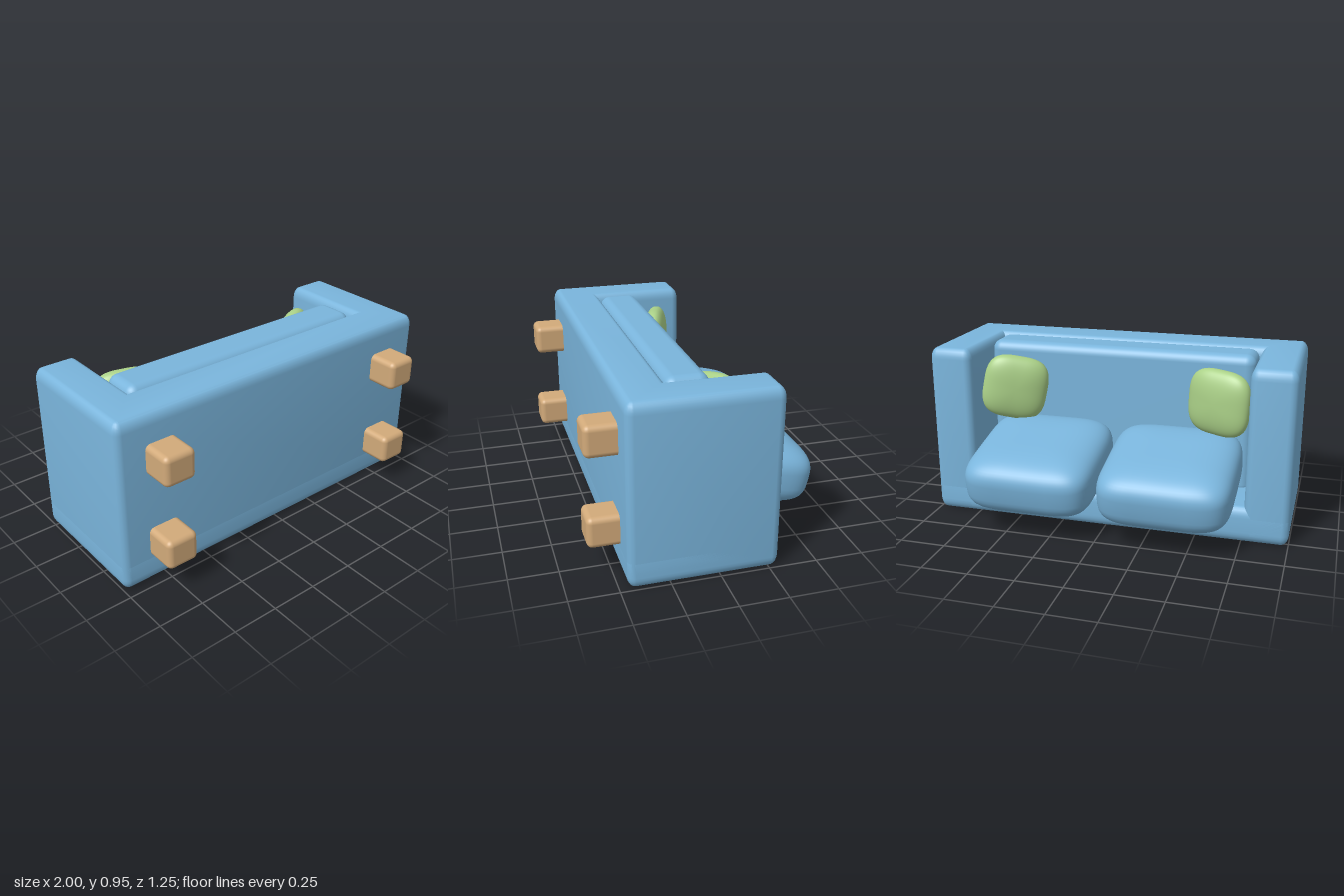
import * as THREE from 'three';
import { RoundedBoxGeometry } from 'three/addons/geometries/RoundedBoxGeometry.js';
import { mergeVertices, toCreasedNormals } from 'three/addons/utils/BufferGeometryUtils.js';

const BEVEL = 0.04;

// Slab with a given outline in x and -z, extruded up y with rounded rims.
// Each corner is [x, s, startAngle]; corners with a start angle are rounded.
function slab(corners, height) {
  const points = [];
  for (const [x, s, start] of corners) {
    if (start === undefined) {
      points.push(new THREE.Vector2(x, s));
      continue;
    }
    for (let i = 0; i <= 4; i++) {
      const a = (start + i * 22.5) * Math.PI / 180;
      points.push(new THREE.Vector2(x + 0.003 * Math.cos(a), s + 0.003 * Math.sin(a)));
    }
  }
  const geometry = new THREE.ExtrudeGeometry(new THREE.Shape(points), {
    depth: height - 0.12, bevelThickness: 0.06, bevelSize: BEVEL, bevelSegments: 6, steps: 1,
  });
  geometry.translate(0, 0, 0.06);
  geometry.rotateX(-Math.PI / 2);
  return toCreasedNormals(geometry, 0.5);
}

// Plump pillow: a sphere squared off in outline, thin along z
function pillow(w, h, d, outline, profile) {
  const geometry = new THREE.SphereGeometry(1, 64, 32);
  geometry.deleteAttribute('uv');
  geometry.deleteAttribute('normal');
  const pow = (v, e) => Math.abs(v) < 1e-6 ? 0 : Math.sign(v) * Math.abs(v) ** e;
  const p = geometry.attributes.position;
  for (let i = 0; i < p.count; i++) {
    const x = p.getX(i), y = p.getY(i), z = p.getZ(i);
    const r = Math.hypot(x, z) || 1;
    const spread = pow(r, profile) * (Math.abs(y) > 0.99999 ? 0 : 1);
    p.setXYZ(i, w / 2 * spread * pow(x / r, outline), d / 2 * pow(y, profile), h / 2 * spread * pow(z / r, outline));
  }
  geometry.rotateX(Math.PI / 2);
  const merged = mergeVertices(geometry, 1e-5);
  merged.computeVertexNormals();
  return merged;
}

export function createModel() {
  const group = new THREE.Group();
  const blue = new THREE.MeshStandardMaterial({ color: 0x7ab5dc });
  const green = new THREE.MeshStandardMaterial({ color: 0xabd188 });
  const wood = new THREE.MeshStandardMaterial({ color: 0xd2aa7a });

  function add(name, geometry, material, x, y, z) {
    const mesh = new THREE.Mesh(geometry, material);
    mesh.name = name;
    mesh.position.set(x, y, z);
    group.add(mesh);
    return mesh;
  }

  // The sofa lies on its back: its seat faces -z and its front edge +y
  const c = BEVEL + 0.003;
  const X = 1 - c, TOP = 0.3 - c, BOTTOM = -0.46 + c;
  const inner = 0.76 + BEVEL, floor = -0.21 - BEVEL;

  // Base with both arms
  add('baseAndArms', slab([
    [-X, BOTTOM, 180], [X, BOTTOM, 270], [X, TOP, 0], [0.76 + c, TOP, 90],
    [inner, floor], [-inner, floor], [-0.76 - c, TOP, 0], [-X, TOP, 90],
  ], 0.95), blue, 0, 0, 0);

  // Backrest panel
  add('backrest', slab([
    [-X, BOTTOM, 180], [X, BOTTOM, 270], [X, TOP, 0], [-X, TOP, 90],
  ], 0.2), blue, 0, 0, 0);

  // Seat cushion
  add('seatCushion', new RoundedBoxGeometry(1.51, 0.79, 0.23, 5, 0.055), blue, 0, 0.552, 0.097);

  for (const side of [-1, 1]) {
    const label = side > 0 ? 'left' : 'right';

    // Leaning back cushion
    const cushion = add(label + 'BackCushion', pillow(0.71, 0.7, 0.335, 0.38, 0.6), blue, side * 0.367, 0.335, -0.28);
    cushion.rotation.x = Math.PI / 2 - 0.22;

    // Small throw pillow against the arm
    const small = add(label + 'ThrowPillow', pillow(0.36, 0.36, 0.14, 0.62, 0.85), green, side * 0.58, 0.705, -0.098);
    small.rotation.set(0, side * 0.36, side > 0 ? 0.2 : 0.05);

    // Legs
    for (const [end, y] of [['Back', 0.237], ['Front', 0.712]]) {
      add(label + end + 'Leg', new RoundedBoxGeometry(0.175, 0.165, 0.22, 4, 0.03), wood, side * 0.757, y, 0.511);
    }
  }
  return group;
}
